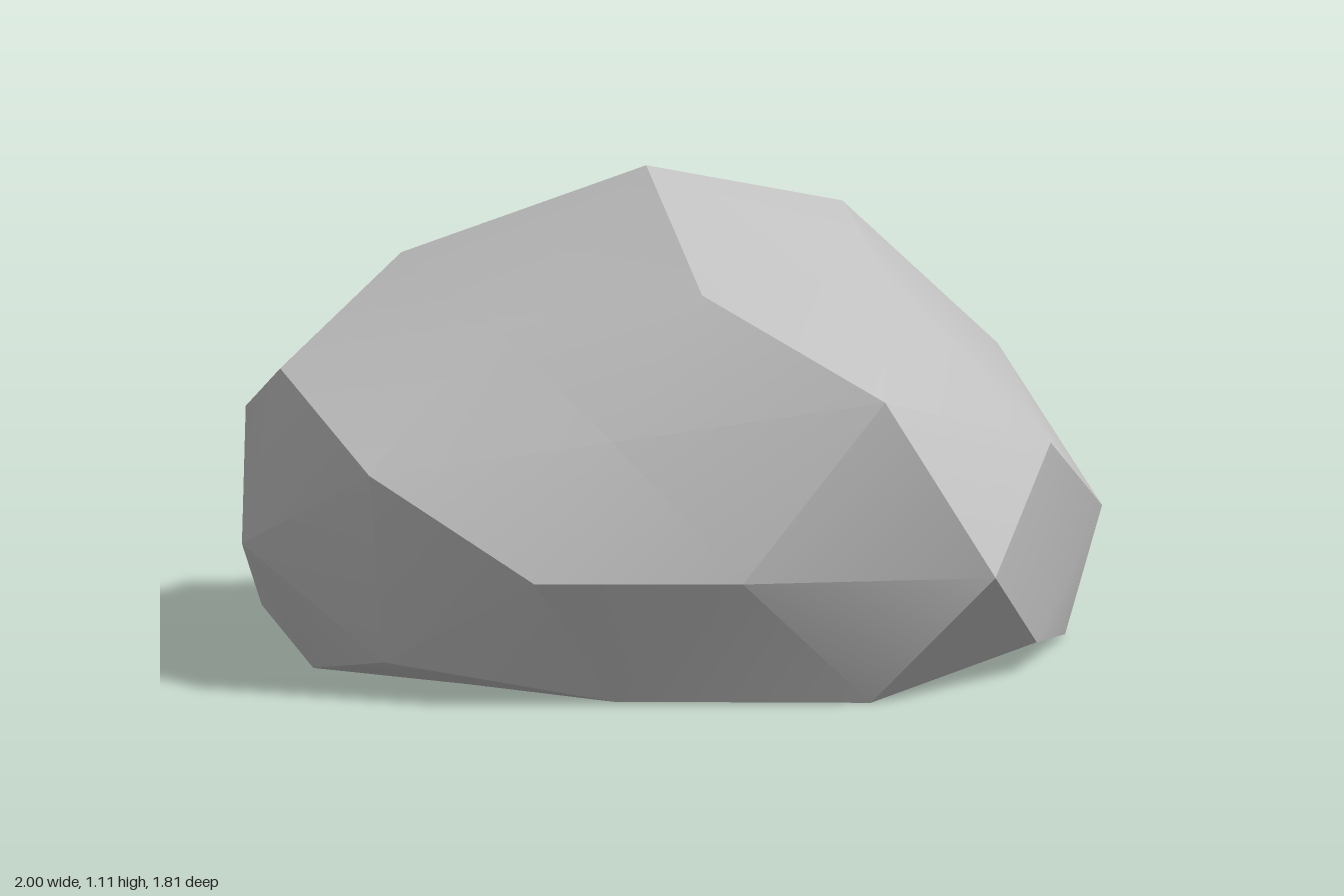
import * as THREE from 'three';
import { toCreasedNormals } from 'three/addons/utils/BufferGeometryUtils.js';

const CENTRE = new THREE.Vector3(-0.06, 0.29, 0.005);
const SQUASH = new THREE.Vector3(1, 0.752, 0.97);

// Bumps: rough direction (x, y, z) and the radius there; elsewhere it is 1
const BUMPS = [
  // crown
  [0, 1, 0, 1.09], [0, 0.85, 0.53, 0.94], [0, 0.85, -0.53, 1.02],
  [0.5, 0.8, 0.3, 0.97], [0.5, 0.8, -0.3, 1.09], [-0.5, 0.8, 0.3, 0.84], [-0.5, 0.8, -0.3, 0.98],
  // shoulders
  [0.85, 0.53, 0, 0.96], [0.3, 0.5, 0.8, 1.065], [0.3, 0.5, -0.8, 0.99],
  [-0.3, 0.5, 0.8, 0.8], [-0.3, 0.5, -0.8, 1.04],
  [-0.8, 0.3, 0.5, 0.95], [-0.8, 0.3, -0.5, 0.99],
  // widest ring
  [1, 0, 0, 1.06], [-1, 0, 0, 0.94], [0, 0, 1, 0.856], [0, 0, -1, 0.943],
  [0.53, 0, 0.85, 1.084], [0.53, 0, -0.85, 0.99], [-0.53, 0, 0.85, 0.86], [-0.53, 0, -0.85, 1.007],
  // foot
  [0.8, -0.3, 0.5, 0.965], [0.8, -0.3, -0.5, 0.89], [-0.8, -0.3, 0.5, 0.9], [-0.8, -0.3, -0.5, 0.95],
  [0.85, -0.53, 0, 1.145], [-0.85, -0.53, 0, 0.91], [-0.3, -0.5, 0.8, 0.79], [-0.3, -0.5, -0.8, 1.1],
];

function radiusAt(v) {
  const bump = BUMPS.find(([x, y, z]) => Math.hypot(v.x - x, v.y - y, v.z - z) < 0.12);
  return bump ? bump[3] : 1;
}

const round = (n) => Math.round(n * 1000) / 1000;

// Faceted ball, pushed in and out, squashed and cut flat at the ground
function boulderGeometry() {
  const geometry = new THREE.IcosahedronGeometry(1, 1).rotateY(Math.PI / 2);
  geometry.deleteAttribute('uv');
  const position = geometry.attributes.position;
  const v = new THREE.Vector3();
  for (let i = 0; i < position.count; i++) {
    v.fromBufferAttribute(position, i);
    v.multiplyScalar(radiusAt(v)).multiply(SQUASH).add(CENTRE);
    position.setXYZ(i, round(v.x), Math.max(0, round(v.y)), round(v.z));
  }
  // Soft shading over shallow edges, sharp over steep ones
  return toCreasedNormals(geometry, THREE.MathUtils.degToRad(30));
}

export function createModel() {
  const group = new THREE.Group();
  group.name = 'rock';
  const stone = new THREE.MeshStandardMaterial({ color: 0xc0c0c0 });
  stone.name = 'stone grey';
  const boulder = new THREE.Mesh(boulderGeometry(), stone);
  boulder.name = 'boulder';
  group.add(boulder);
  return group;
}
